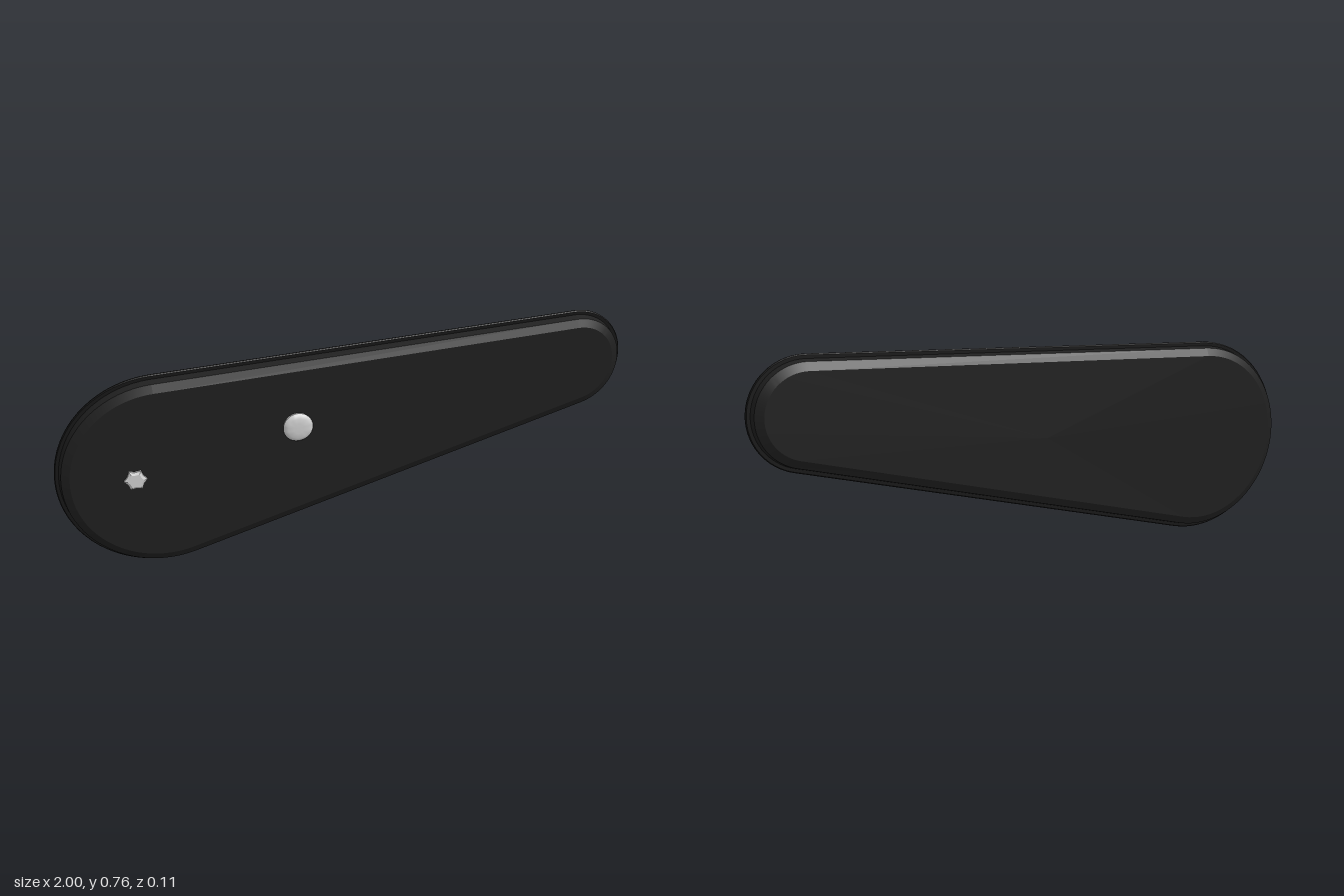
import * as THREE from 'three';
import { toCreasedNormals } from 'three/addons/utils/BufferGeometryUtils.js';

// Outline wrapped around a large and a small circle, shrunk by an inset
function outline(inset, segments = 40) {
  const a = { x: -0.65, y: 0.352, r: 0.35 }, b = { x: 0.812, y: 0.572, r: 0.186 };
  const axis = Math.atan2(b.y - a.y, b.x - a.x);
  const half = Math.acos((a.r - b.r) / Math.hypot(b.x - a.x, b.y - a.y));
  const points = [];
  const arc = (c, from, to) => {
    for (let i = 0; i <= segments; i++) {
      const t = from + (to - from) * i / segments;
      points.push([c.x + (c.r - inset) * Math.cos(t), c.y + (c.r - inset) * Math.sin(t)]);
    }
  };
  arc(b, axis - half, axis + half);
  arc(a, axis + half, axis + 2 * Math.PI - half);
  return points;
}

// Six-pointed shallow star
function star(radius) {
  return Array.from({ length: 12 }, (_, i) => {
    const r = i % 2 ? radius * 0.78 : radius, t = i * Math.PI / 6;
    return [r * Math.cos(t), r * Math.sin(t)];
  });
}

function circle(radius) {
  return Array.from({ length: 32 }, (_, i) => {
    const t = i * Math.PI / 16;
    return [radius * Math.cos(t), radius * Math.sin(t)];
  });
}

// Closed solid through counter-clockwise rings listed from back to front
function loft(rings, center, crease) {
  const positions = [];
  const n = rings[0].points.length;
  const corner = (ring, i) => [...ring.points[i % n], ring.z];
  const triangle = (...corners) => corners.forEach(c => positions.push(...c));
  rings.forEach((ring, k) => {
    const next = rings[k + 1];
    for (let i = 0; i < n; i++) {
      const p = corner(ring, i), q = corner(ring, i + 1);
      if (k === 0) triangle([...center, ring.z], q, p);
      if (next) {
        const r = corner(next, i), s = corner(next, i + 1);
        triangle(p, q, s);
        triangle(p, s, r);
      } else triangle([...center, ring.z], p, q);
    }
  });
  const geometry = new THREE.BufferGeometry();
  geometry.setAttribute('position', new THREE.Float32BufferAttribute(positions, 3));
  return toCreasedNormals(geometry, crease);
}

export function createModel() {
  const group = new THREE.Group();
  const shell = new THREE.MeshStandardMaterial({ color: 0x1f1f1f });
  shell.name = 'black shell';
  const rubber = new THREE.MeshStandardMaterial({ color: 0x161616 });
  rubber.name = 'dark seam';
  const metal = new THREE.MeshStandardMaterial({ color: 0xd2d2d2 });
  metal.name = 'light metal';

  const add = (name, geometry, material, x = 0, y = 0) => {
    const mesh = new THREE.Mesh(geometry, material);
    mesh.name = name;
    mesh.position.set(x, y, 0);
    group.add(mesh);
  };
  // Each profile entry is [size, z]
  const build = (shape, profile, center, crease) =>
    loft(profile.map(([size, z]) => ({ points: shape(size), z })), center, crease);

  // Bevelled case and the thin seam around its middle
  const middle = [0, 0.42];
  add('case', build(outline, [
    [0.047, -0.055], [0.02, -0.042], [0.013, -0.01], [0.02, 0.022], [0.047, 0.035],
  ], middle, 0.4), shell);
  add('seam', build(outline, [
    [0.003, -0.016], [0, -0.013], [0, -0.008], [0.003, -0.005],
  ], middle, 0.4), rubber);

  // Round domed button and small star-shaped screw on the front
  add('button', build(circle, [
    [0.047, 0.03], [0.051, 0.046], [0.046, 0.052], [0.036, 0.0565], [0.018, 0.058],
  ], [0, 0], 0.9), metal, -0.198, 0.474);
  add('screw', build(star, [
    [0.039, 0.03], [0.038, 0.041], [0.027, 0.046],
  ], [0, 0], 0.3), metal, -0.744, 0.354);

  return group;
}
